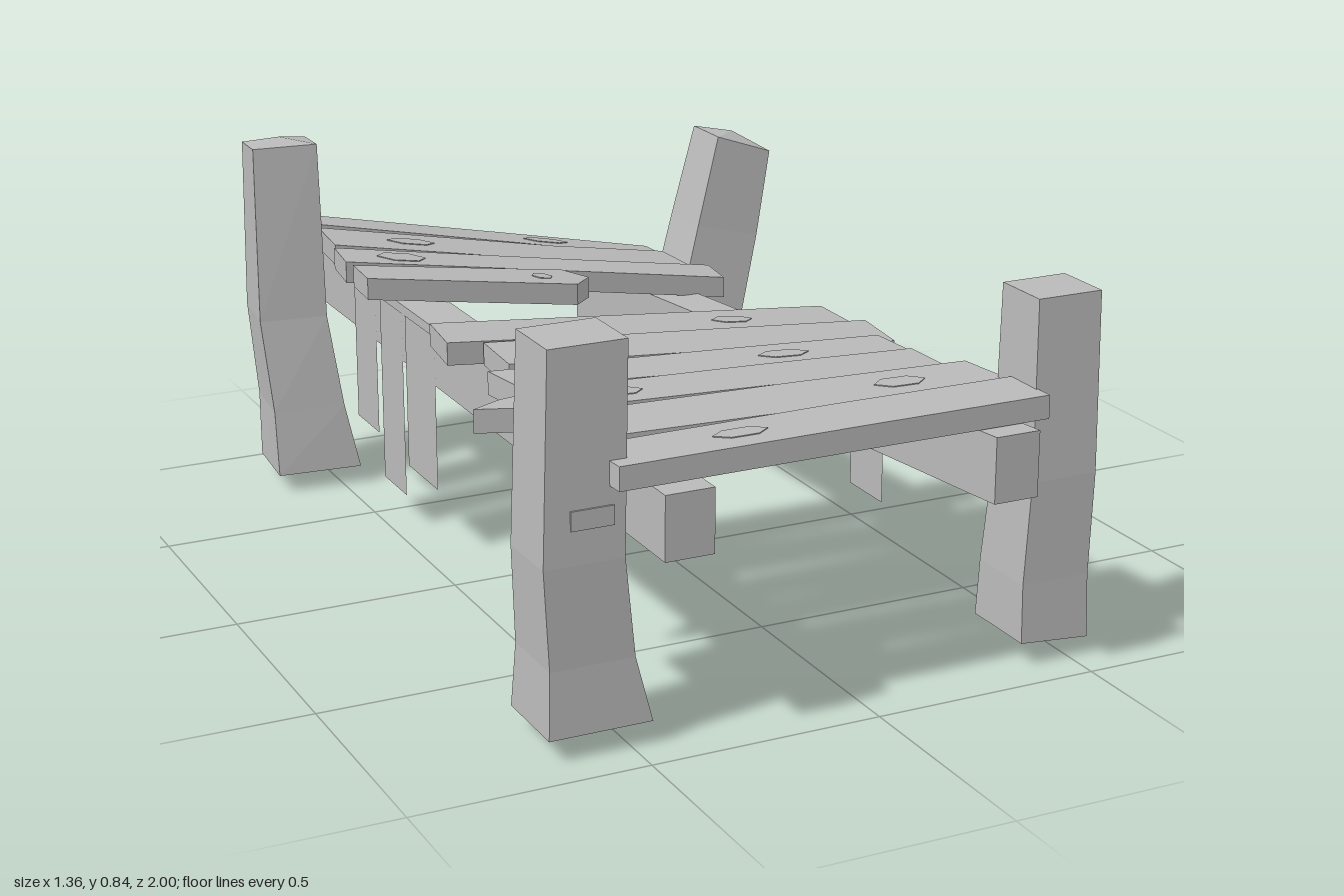
import * as THREE from 'three';

const wood = new THREE.MeshStandardMaterial({ color: 0xbababa, side: THREE.DoubleSide });
wood.name = 'greyWood';

// Four corners of a post cross-section; sx / sz tilt the cut, yaw turns it
function ring({ x, y, z, w, d, yaw = 0, sx = 0, sz = 0 }) {
  return [[-1, 1], [1, 1], [1, -1], [-1, -1]].map(([i, k]) => {
    const a = i * w / 2, b = k * d / 2;
    const px = a * Math.cos(yaw) - b * Math.sin(yaw), pz = a * Math.sin(yaw) + b * Math.cos(yaw);
    return [x + px, y + px * sx + pz * sz, z + pz];
  });
}

// Flat-faced loft through cross-sections, closed with a low pointed cap
function loft(sections, cap = 0) {
  const rings = sections.map(ring), pos = [];
  const tri = (...p) => p.forEach((v) => pos.push(...v));
  const n = rings.length - 1, top = sections[n];
  const apex = [top.x, top.y + cap, top.z];
  for (let j = 0; j < 4; j++) {
    const k = (j + 1) % 4;
    for (let i = 0; i < n; i++) {
      const a = rings[i][j], b = rings[i][k], c = rings[i + 1][k], e = rings[i + 1][j];
      tri(a, b, c);
      tri(a, c, e);
    }
    tri(rings[n][j], rings[n][k], apex);
  }
  const [a, b, c, e] = rings[0];
  tri(a, c, b);
  tri(a, e, c);
  const g = new THREE.BufferGeometry();
  g.setAttribute('position', new THREE.Float32BufferAttribute(pos, 3));
  g.computeVertexNormals();
  return g;
}

// Height of the plank undersides: level on the left beam, sinking to the rear on the right beam
const beamTop = (z) => 0.468 + 0.082 * z;
const deckY = (x, zc) => 0.547 + (x + 0.41) * (beamTop(zc) - 0.54) / 0.71;

// Board cut to an outline of [x, z] points and laid on the sloping deck
function board(outline, zc, lift, thickness) {
  const shape = new THREE.Shape(outline.map(([x, z]) => new THREE.Vector2(x, -z)));
  const g = new THREE.ExtrudeGeometry(shape, { depth: thickness, bevelEnabled: false });
  g.rotateX(-Math.PI / 2);
  const p = g.attributes.position;
  for (let i = 0; i < p.count; i++) p.setY(i, p.getY(i) + lift + deckY(p.getX(i), zc));
  g.computeVertexNormals();
  return g;
}

export function createModel() {
  const model = new THREE.Group();
  model.name = 'brokenJetty';
  const add = (name, geometry) => {
    const mesh = new THREE.Mesh(geometry, wood);
    mesh.name = name;
    model.add(mesh);
    return mesh;
  };

  // Two long beams, the right-hand one sagging to the rear
  const level = new THREE.BoxGeometry(0.105, 0.135, 1.98);
  level.translate(-0.41, 0.472, -0.01);
  add('levelBeam', level);
  const sagging = new THREE.BoxGeometry(0.1, 0.14, 2);
  const sp = sagging.attributes.position;
  for (let i = 0; i < sp.count; i++) sp.setXYZ(i, sp.getX(i) + 0.3, sp.getY(i) + beamTop(sp.getZ(i)) - 0.07, sp.getZ(i));
  sagging.computeVertexNormals();
  add('saggingBeam', sagging);

  // Four crooked posts
  add('frontLeftSidePost', loft([
    { x: -0.565, y: 0.05, z: 0.82, w: 0.22, d: 0.185 },
    { x: -0.58, y: 0.19, z: 0.825, w: 0.18, d: 0.165 },
    { x: -0.597, y: 0.4, z: 0.833, w: 0.17, d: 0.155 },
    { x: -0.583, y: 0.83, z: 0.83, w: 0.165, d: 0.145 },
  ]));
  add('frontRightSidePost', loft([
    { x: 0.463, y: 0.047, z: 0.825, w: 0.16, d: 0.18, sx: -0.08 },
    { x: 0.463, y: 0.18, z: 0.827, w: 0.157, d: 0.165 },
    { x: 0.475, y: 0.4, z: 0.832, w: 0.152, d: 0.15 },
    { x: 0.483, y: 0.782, z: 0.822, w: 0.148, d: 0.135 },
  ]));
  add('rearLeftSidePost', loft([
    { x: -0.55, y: 0.045, z: -0.8, w: 0.2, d: 0.175, yaw: 0.08 },
    { x: -0.565, y: 0.2, z: -0.81, w: 0.17, d: 0.165, yaw: 0.1 },
    { x: -0.585, y: 0.42, z: -0.835, w: 0.16, d: 0.165, yaw: 0.13 },
    { x: -0.582, y: 0.825, z: -0.85, w: 0.15, d: 0.165, yaw: 0.16, sz: 0.12 },
  ], 0.015));
  add('rearRightSidePost', loft([
    { x: 0.428, y: 0.05, z: -0.785, w: 0.185, d: 0.185, sx: -0.3 },
    { x: 0.47, y: 0.2, z: -0.8, w: 0.175, d: 0.165, sx: -0.25 },
    { x: 0.555, y: 0.5, z: -0.825, w: 0.165, d: 0.15, sx: -0.25 },
    { x: 0.607, y: 0.715, z: -0.832, w: 0.145, d: 0.135, sx: -0.35 },
  ], 0.02));

  // Deck planks as [x, z] outlines, two of them snapped to points
  const planks = [
    [[-0.52, -0.96], [0.02, -0.955], [0.42, -0.945], [0.43, -0.84], [0, -0.85], [-0.53, -0.86]],
    [[-0.5, -0.83], [0.1, -0.805], [0.41, -0.83], [0.42, -0.66], [-0.05, -0.65], [-0.52, -0.655]],
    [[-0.53, -0.635], [0.1, -0.625], [0.44, -0.63], [0.42, -0.505], [0, -0.505], [-0.55, -0.5]],
    [[-0.54, -0.48], [-0.02, -0.485], [0.02, -0.42], [-0.04, -0.35], [-0.55, -0.36]],
    [[-0.54, -0.01], [0, -0.015], [0.42, -0.02], [0.42, 0.125], [0, 0.135], [-0.56, 0.14]],
    [[-0.48, 0.145], [0.05, 0.155], [0.43, 0.165], [0.41, 0.33], [0, 0.31], [-0.49, 0.305]],
    [[-0.55, 0.335], [0, 0.325], [0.37, 0.325], [0.38, 0.465], [0, 0.465], [-0.53, 0.46]],
    [[-0.67, 0.55], [-0.6, 0.51], [-0.48, 0.475], [0, 0.47], [0.365, 0.475], [0.37, 0.615], [0, 0.605], [-0.51, 0.605], [-0.55, 0.58]],
    [[-0.48, 0.625], [0, 0.625], [0.4, 0.635], [0.42, 0.785], [0, 0.79], [-0.48, 0.785]],
    [[-0.55, 0.81], [0, 0.8], [0.405, 0.805], [0.41, 0.94], [0, 0.94], [-0.54, 0.945]],
  ];
  const middle = (outline) => {
    const zs = outline.map((p) => p[1]);
    return (Math.min(...zs) + Math.max(...zs)) / 2;
  };
  const centres = planks.map(middle);
  planks.forEach((outline, i) => add('plank' + (i + 1), board(outline, centres[i], 0, 0.05)));

  // Thin knots on the planks: [plank index, x, half length, half width]
  const knots = [
    [0, 0.12, 0.06, 0.022], [1, -0.3, 0.06, 0.03], [2, -0.39, 0.06, 0.04], [3, -0.1, 0.025, 0.025],
    [4, 0.15, 0.05, 0.025], [5, -0.3, 0.06, 0.03], [6, 0.1, 0.06, 0.025],
    [7, -0.35, 0.05, 0.025], [8, 0.2, 0.06, 0.03], [9, -0.25, 0.06, 0.025],
  ];
  knots.forEach(([i, x, a, b]) => {
    const outline = [0, 1, 2, 3, 4, 5].map((k) => [x + a * Math.cos(k * Math.PI / 3), centres[i] + b * Math.sin(k * Math.PI / 3)]);
    add('knot' + (i + 1), board(outline, centres[i], 0.05, 0.002));
  });

  // Ragged flat strips hanging from the beams: [x, front z, rear z, bottom y]
  const strips = [
    [0.352, 0.39, 0.25, 0.19], [0.352, 0.28, 0.18, 0.29], [0.352, -0.46, -0.63, 0.08], [0.352, -0.68, -0.87, 0.003],
    [-0.464, 0.75, 0.6, 0.25], [-0.464, -0.18, -0.36, 0.16], [-0.464, -0.38, -0.52, 0.08], [-0.464, -0.55, -0.69, 0.18],
  ];
  strips.forEach(([x, z0, z1, y0]) => {
    const top = x > 0 ? beamTop((z0 + z1) / 2) - 0.03 : 0.52;
    const g = new THREE.PlaneGeometry(z0 - z1, top - y0);
    g.rotateY(Math.PI / 2);
    g.translate(x, (top + y0) / 2, (z0 + z1) / 2);
    add('hangingStrip', g);
  });

  // Shallow scars on the front posts
  const scarA = new THREE.BoxGeometry(0.09, 0.04, 0.004);
  scarA.translate(-0.58, 0.49, 0.911);
  add('postScar', scarA);
  const scarB = new THREE.BoxGeometry(0.004, 0.12, 0.07);
  scarB.translate(0.553, 0.43, 0.835);
  add('postScar', scarB);
  return model;
}
